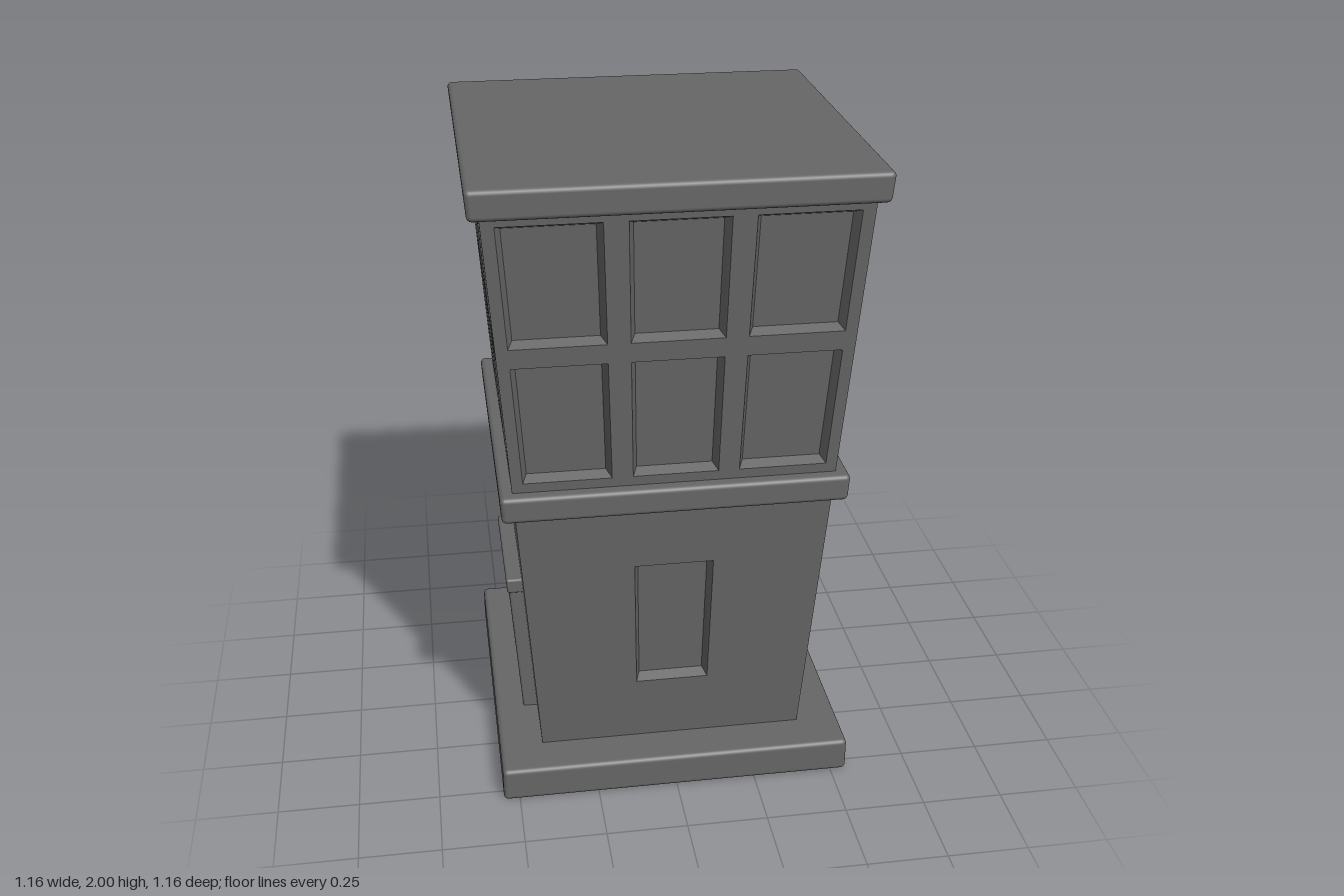
import * as THREE from 'three';
import { RoundedBoxGeometry } from 'three/addons/geometries/RoundedBoxGeometry.js';

const stone = new THREE.MeshStandardMaterial({ color: 0x666666 });
stone.name = 'grey stone';
const dark = new THREE.MeshStandardMaterial({ color: 0x1e1e1e });
dark.name = 'dark doorway';

// The walls lean outward: half width of the tower at height y
const half = (y) => 0.415 + 0.07 * (y - 0.11);
const DEPTH = 0.035;

// Window columns as fractions of the half width
const COLUMNS = [[-0.93, -0.39], [-0.262, 0.262], [0.39, 0.93]];
const row = (y0, y1, cols = COLUMNS) => cols.map(([u0, u1]) => ({ u0, u1, y0, y1 }));

function add(parent, name, geometry, material = stone) {
  const mesh = new THREE.Mesh(geometry, material);
  mesh.name = name;
  parent.add(mesh);
  return mesh;
}

const corners = ({ u0, u1, y0, y1 }) => [[u0, y0], [u1, y0], [u1, y1], [u0, y1]];

// Point on a leaning wall, sunk by d
const onWall = ([u, y], d) => [u * half(y), y, half(y) - d];

// Flat wall with openings
function wallGeometry(y0, y1, windows) {
  const toPoints = (r) => corners(r).map(([u, y]) => new THREE.Vector2(u, y));
  const shape = new THREE.Shape(toPoints({ u0: -1, u1: 1, y0, y1 }));
  for (const w of windows) shape.holes.push(new THREE.Path(toPoints(w).reverse()));
  const geo = new THREE.ShapeGeometry(shape);
  const p = geo.attributes.position;
  for (let i = 0; i < p.count; i++) p.setXYZ(i, ...onWall([p.getX(i), p.getY(i)], 0));
  geo.computeVertexNormals();
  return geo;
}

// Sunken panel with four bevelled reveals
function windowGeometry(w) {
  const outer = corners(w).map((c) => onWall(c, 0));
  const inner = corners({
    u0: w.u0 + 0.03, u1: w.u1 - 0.03, y0: w.y0 + 0.015, y1: w.y1 - 0.015,
  }).map((c) => onWall(c, DEPTH));
  const pos = [];
  const quad = (a, b, c, d) => pos.push(...a, ...b, ...c, ...a, ...c, ...d);
  for (let i = 0; i < 4; i++) {
    const j = (i + 1) % 4;
    quad(outer[i], outer[j], inner[j], inner[i]);
  }
  quad(...inner);
  const geo = new THREE.BufferGeometry();
  geo.setAttribute('position', new THREE.Float32BufferAttribute(pos, 3));
  geo.computeVertexNormals();
  return geo;
}

// Softly rounded square slab, slightly wider at the top
function slab(parent, name, y0, y1, bottom, top) {
  const h = y1 - y0;
  const geo = new RoundedBoxGeometry(2 * top, h, 2 * top, 3, 0.015);
  const p = geo.attributes.position;
  for (let i = 0; i < p.count; i++) {
    const t = p.getY(i) / h + 0.5;
    const s = (bottom + (top - bottom) * t) / top;
    p.setXYZ(i, p.getX(i) * s, p.getY(i), p.getZ(i) * s);
  }
  add(parent, name, geo).position.y = (y0 + y1) / 2;
}

// Block that leans with the wall and projects from it by out
function leaningBlock(parent, name, x0, x1, y0, y1, out, radius, material) {
  const back = radius ? 0.02 : 0;
  const size = [x1 - x0, y1 - y0, out + back];
  const geo = radius ? new RoundedBoxGeometry(...size, 2, radius) : new THREE.BoxGeometry(...size);
  geo.translate((x0 + x1) / 2, (y0 + y1) / 2, (out - back) / 2);
  const p = geo.attributes.position;
  for (let i = 0; i < p.count; i++) p.setZ(i, p.getZ(i) + half(p.getY(i)));
  add(parent, name, geo, material);
}

export function createModel() {
  const model = new THREE.Group();
  model.name = 'tower';

  // Horizontal slabs
  slab(model, 'base', 0, 0.11, 0.55, 0.55);
  slab(model, 'middleBand', 0.97, 1.055, 0.515, 0.52);
  slab(model, 'roof', 1.91, 2, 0.573, 0.58);

  // Four sides, turning from the front through the left
  const single = row(0.325, 0.765, [COLUMNS[1]]);
  const triple = row(0.325, 0.765);
  const upper = [...row(1.085, 1.46), ...row(1.52, 1.885)];
  const names = ['front', 'left', 'back', 'right'];
  [single, triple, single, []].forEach((lower, k) => {
    const side = new THREE.Group();
    side.name = names[k] + 'Side';
    side.rotation.y = (k * Math.PI) / 2;
    model.add(side);

    add(side, 'lowerWall', wallGeometry(0.1, 0.99, lower));
    add(side, 'upperWall', wallGeometry(1.04, 1.93, upper));
    for (const w of lower) add(side, 'lowerWindow', windowGeometry(w));
    for (const w of upper) add(side, 'upperWindow', windowGeometry(w));

    // Doorway on the side without lower windows
    if (k === 3) {
      leaningBlock(side, 'doorway', -0.17, 0.17, 0.105, 0.57, 0.006, 0, dark);
      for (const s of [-1, 1]) {
        leaningBlock(side, 'doorPost', s * 0.178 - 0.029, s * 0.178 + 0.029, 0.1, 0.57, 0.045, 0.008);
      }
      leaningBlock(side, 'doorLintel', -0.214, 0.214, 0.55, 0.6, 0.05, 0.008);
    }
  });

  return model;
}
